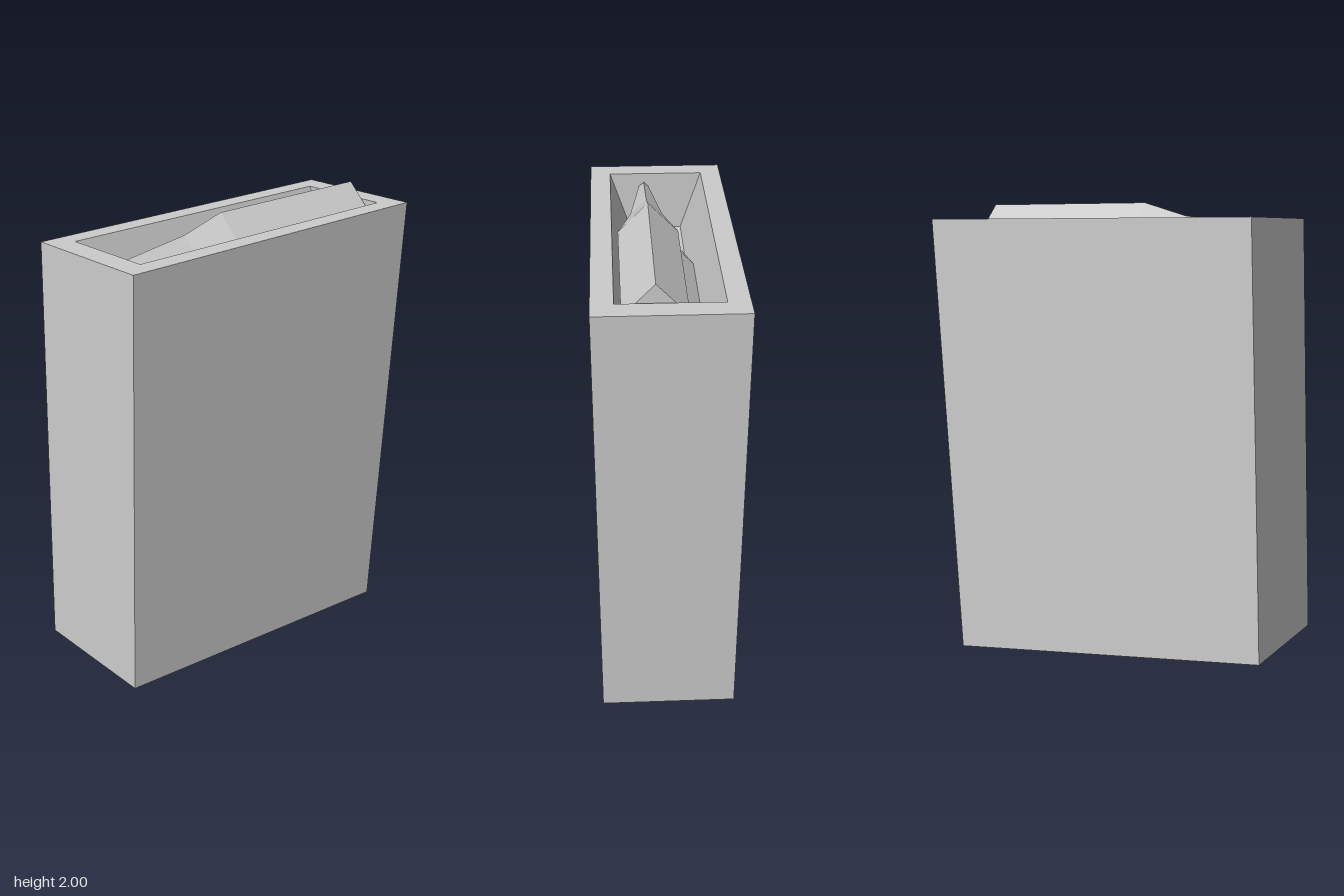
import * as THREE from 'three';

const material = new THREE.MeshStandardMaterial({ color: 0xcccccc, flatShading: true });

// Four-cornered ring, counter-clockwise from above, with its own front and back heights
function ring(halfWidth, zFront, yFront, zBack, yBack) {
  return [
    [-halfWidth, yFront, zFront], [halfWidth, yFront, zFront],
    [halfWidth, yBack, zBack], [-halfWidth, yBack, zBack],
  ];
}

// Skins successive rings and caps the first and last
function loft(rings) {
  const index = [];
  for (let r = 0; r < rings.length - 1; r++) {
    for (let i = 0; i < 4; i++) {
      const a = r * 4 + i, b = r * 4 + (i + 1) % 4;
      index.push(a, b, b + 4, a, b + 4, a + 4);
    }
  }
  const e = (rings.length - 1) * 4;
  index.push(0, 2, 1, 0, 3, 2, e, e + 1, e + 2, e, e + 2, e + 3);
  const indexed = new THREE.BufferGeometry();
  indexed.setAttribute('position', new THREE.Float32BufferAttribute(rings.flat(2), 3));
  indexed.setIndex(index);
  const geometry = indexed.toNonIndexed();
  geometry.computeVertexNormals();
  return geometry;
}

// Four-sided round: straight case, shoulder, narrow flat tip, lying along z
function roundGeometry() {
  const profile = [[0, -0.68], [0.123, -0.68], [0.123, 0.09], [0.067, 0.28], [0.022, 0.605], [0, 0.605]];
  const geometry = new THREE.LatheGeometry(profile.map(([r, y]) => new THREE.Vector2(r, y)), 4);
  return geometry.rotateX(Math.PI / 2);
}

export function createModel() {
  const group = new THREE.Group();
  const add = (name, geometry, x = 0, y = 0, z = 0) => {
    const mesh = new THREE.Mesh(geometry, material);
    mesh.name = name;
    mesh.position.set(x, y, z);
    group.add(mesh);
  };

  // Slanted case with a rim and a tapering pocket in the top
  add('case', loft([
    ring(0.285, 0.787, 0.167, -0.67, 0),
    ring(0.285, 0.72, 1.932, -0.787, 1.932),
    ring(0.2, 0.62, 1.932, -0.69, 1.932),
    ring(0.113, 0.62, 1.68, -0.69, 1.68),
  ]));

  // Two staggered rounds lying in the pocket
  const round = roundGeometry();
  add('upperRound', round, 0.052, 1.877, 0);
  add('lowerRound', round, -0.012, 1.74, -0.02);

  return group;
}
